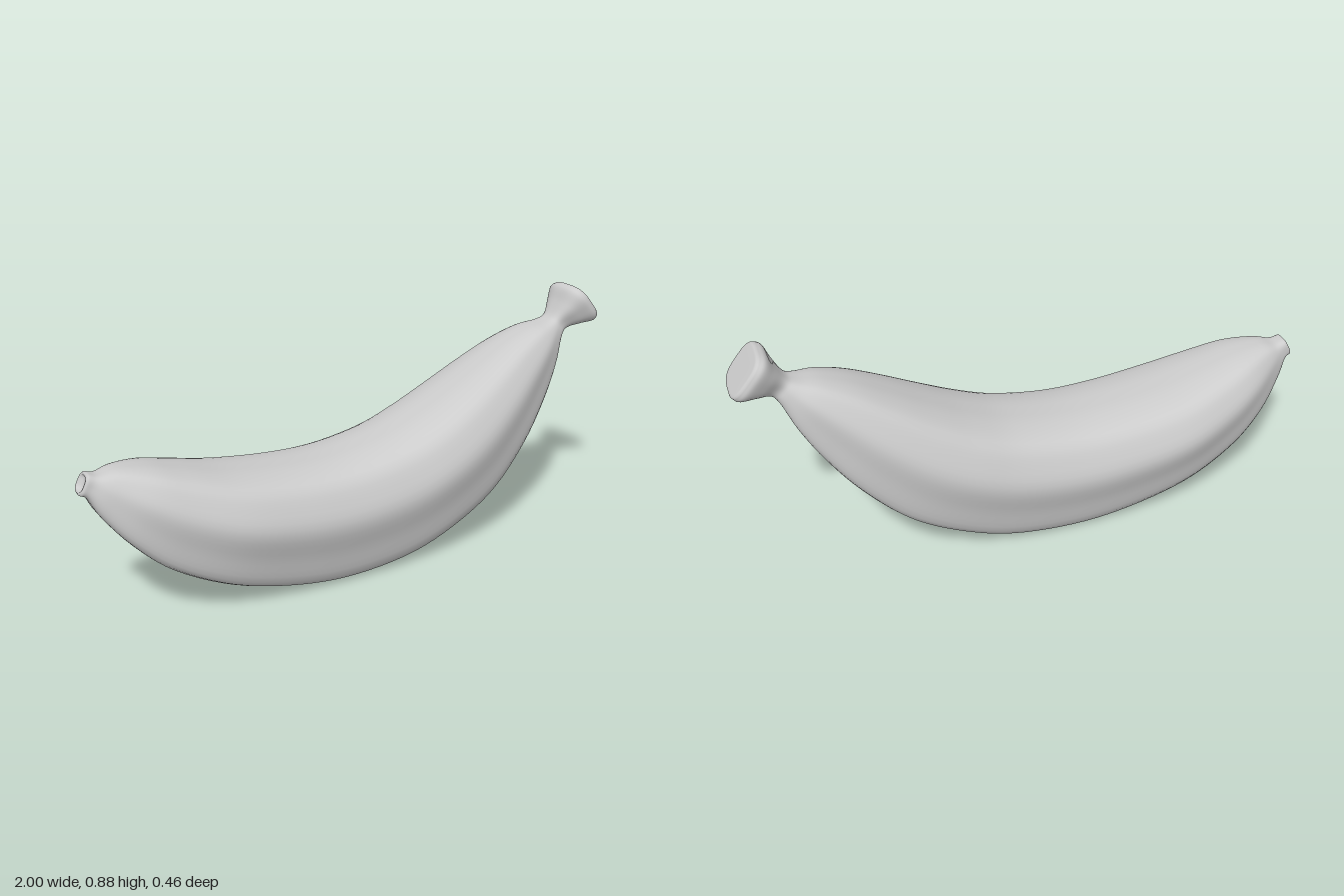
import * as THREE from 'three';

// Stations from blossom tip to stem: lower x,y / upper x,y / half width / roundness of section
const STATIONS = [
  [-0.998, 0.465, -0.965, 0.53, 0.036, 1],
  [-0.975, 0.45, -0.93, 0.521, 0.045, 0.9],
  [-0.94, 0.385, -0.87, 0.53, 0.08, 0.4],
  [-0.86, 0.285, -0.77, 0.519, 0.14, 0.1],
  [-0.74, 0.18, -0.66, 0.49, 0.183, 0],
  [-0.55, 0.087, -0.50, 0.45, 0.222, 0],
  [-0.32, 0.025, -0.29, 0.425, 0.23, 0],
  [-0.10, 0.004, -0.10, 0.424, 0.23, 0],
  [0.14, 0.03, 0.09, 0.455, 0.23, 0],
  [0.34, 0.105, 0.23, 0.505, 0.228, 0],
  [0.50, 0.20, 0.36, 0.57, 0.212, 0],
  [0.64, 0.34, 0.49, 0.642, 0.18, 0],
  [0.74, 0.475, 0.61, 0.705, 0.14, 0],
  [0.81, 0.595, 0.71, 0.742, 0.10, 0.2],
  [0.852, 0.69, 0.785, 0.755, 0.06, 0.7],
  [0.88, 0.72, 0.82, 0.772, 0.048, 1],
  [0.93, 0.733, 0.85, 0.82, 0.075, 1],
  [0.98, 0.738, 0.87, 0.866, 0.094, 1],
  [0.998, 0.752, 0.893, 0.879, 0.09, 1],
];
const SIDES = 56, STEPS = 5;

// Soft six-sided section: x = share of the half width, y = height from -1 to 1
function bodySection() {
  const half = [[0.55, -1], [0.72, -0.91], [0.88, -0.35], [1, 0.18], [0.91, 0.52], [0.73, 0.84], [0.35, 0.98]];
  const pts = [[0, -1], ...half, [0, 1], ...half.slice().reverse().map(([x, y]) => [-x, y])];
  const curve = new THREE.CatmullRomCurve3(pts.map(([x, y]) => new THREE.Vector3(x, y, 0)), true);
  return curve.getSpacedPoints(SIDES).slice(0, SIDES);
}

// Rounded square at the same angles, used on the stem and the tip
function roundSection(section) {
  return section.map((p) => {
    const a = Math.atan2(p.y, p.x), n = 3.2;
    const r = Math.pow(Math.abs(Math.cos(a)) ** n + Math.abs(Math.sin(a)) ** n, -1 / n);
    return new THREE.Vector3(r * Math.cos(a), r * Math.sin(a), 0);
  });
}

// Joins closed rings of equal length into one surface
function loft(rings) {
  const position = [], index = [];
  rings.forEach((ring) => ring.forEach((p) => position.push(p.x, p.y, p.z)));
  for (let i = 0; i < rings.length - 1; i++) {
    for (let j = 0; j < SIDES; j++) {
      const k = (j + 1) % SIDES;
      const a = i * SIDES + j, b = a + SIDES, c = i * SIDES + k, d = c + SIDES;
      index.push(a, b, c, b, d, c);
    }
  }
  const geo = new THREE.BufferGeometry();
  geo.setAttribute('position', new THREE.Float32BufferAttribute(position, 3));
  geo.setIndex(index);
  geo.computeVertexNormals();
  return geo;
}

// Shrinks a ring towards its centre and shifts it along the end direction
function inset(ring, scale, shift) {
  const centre = ring.reduce((s, p) => s.add(p), new THREE.Vector3()).divideScalar(ring.length);
  return ring.map((p) => p.clone().sub(centre).multiplyScalar(scale).add(centre).add(shift));
}

export function createModel() {
  const group = new THREE.Group();
  group.name = 'banana';
  const material = new THREE.MeshStandardMaterial({ color: 0xcccccc });

  const lower = new THREE.CatmullRomCurve3(STATIONS.map((s) => new THREE.Vector3(s[0], s[1], s[4])), false, 'catmullrom', 0.5);
  const upper = new THREE.CatmullRomCurve3(STATIONS.map((s) => new THREE.Vector3(s[2], s[3], s[5])), false, 'catmullrom', 0.5);
  const body = bodySection(), round = roundSection(body);

  // Peel rings follow the lower and upper outline
  const rings = [];
  const total = (STATIONS.length - 1) * STEPS;
  for (let i = 0; i <= total; i++) {
    const lo = lower.getPoint(i / total), up = upper.getPoint(i / total);
    const blend = THREE.MathUtils.clamp(up.z, 0, 1);
    rings.push(body.map((p, j) => {
      const q = p.clone().lerp(round[j], blend);
      const v = (q.y + 1) / 2;
      return new THREE.Vector3(lo.x + (up.x - lo.x) * v, lo.y + (up.y - lo.y) * v, q.x * lo.z);
    }));
  }

  // Rounded, nearly flat cut at the stem
  const stemEnd = rings[rings.length - 1];
  const out = new THREE.Vector3(0.77, 0.64, 0);
  [[0.95, 0.004], [0.86, 0.005], [0.5, 0.005], [0, 0.005]].forEach(([s, d]) =>
    rings.push(inset(stemEnd, s, out.clone().multiplyScalar(d))));

  // Small hollow at the blossom tip
  const tipEnd = rings[0];
  const back = new THREE.Vector3(-0.88, 0.47, 0);
  [[0.88, 0.004], [0.7, 0.003], [0.6, -0.008], [0, -0.008]].forEach(([s, d]) =>
    rings.unshift(inset(tipEnd, s, back.clone().multiplyScalar(d))));

  const peel = new THREE.Mesh(loft(rings), material);
  peel.name = 'peel';
  group.add(peel);
  return group;
}
